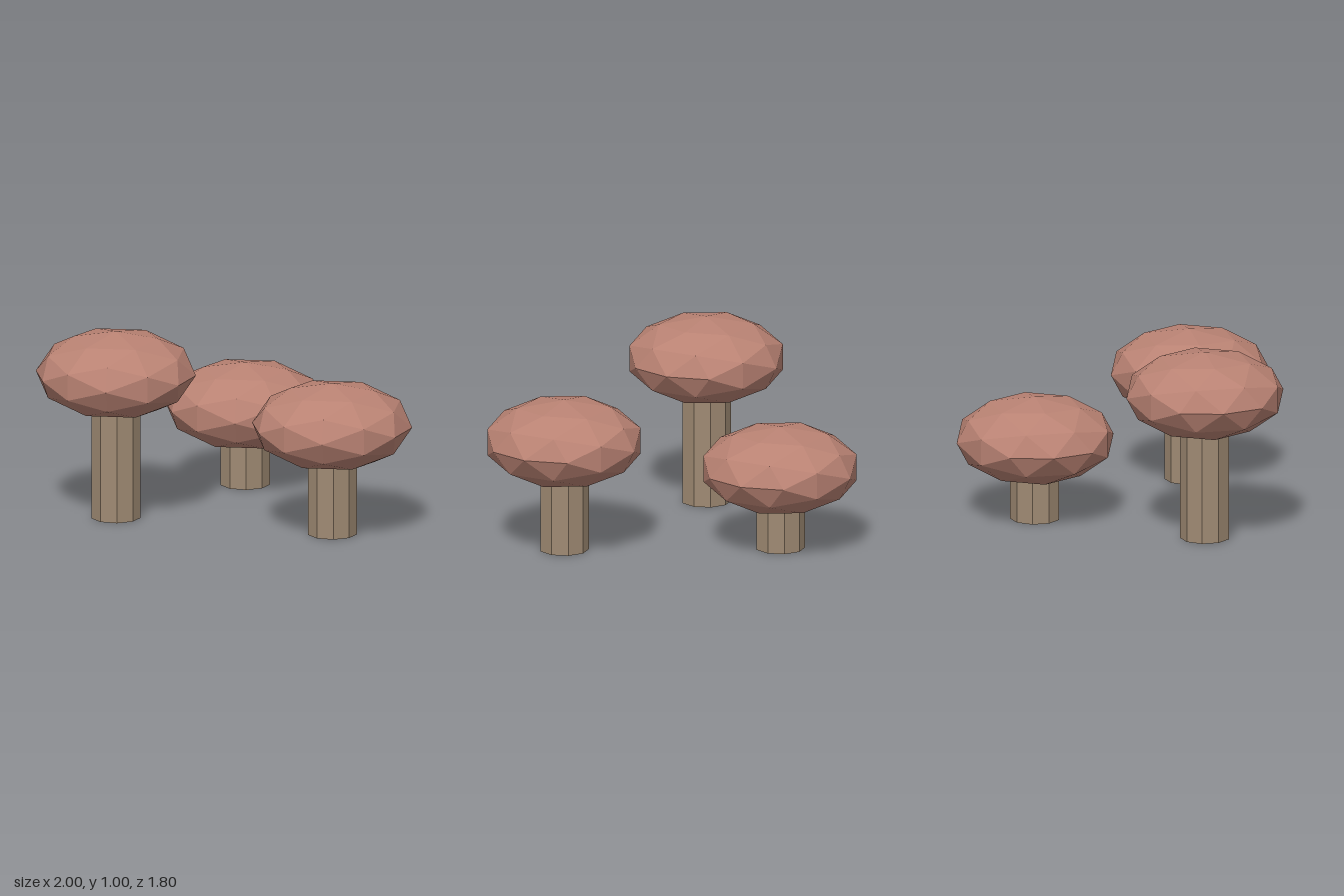
import * as THREE from 'three';

const CAP_RADIUS = 0.42;
const CAP_HALF_HEIGHT = 0.225;
const STEM_RADIUS = 0.13;

// One tree: nine-sided trunk under a squashed faceted crown
function makeTree(x, z, crownY, crownMaterial, trunkMaterial) {
  const tree = new THREE.Group();
  tree.name = 'tree';
  tree.position.set(x, 0, z);

  // Trunk, one edge pointing along +x, ending inside the crown
  const trunkGeometry = new THREE.CylinderGeometry(STEM_RADIUS, STEM_RADIUS, crownY, 9);
  trunkGeometry.rotateY(Math.PI / 2);
  const trunk = new THREE.Mesh(trunkGeometry, trunkMaterial);
  trunk.name = 'trunk';
  trunk.position.y = crownY / 2;

  // Crown
  const crownGeometry = new THREE.IcosahedronGeometry(CAP_RADIUS, 1);
  crownGeometry.scale(1, CAP_HALF_HEIGHT / CAP_RADIUS, 1);
  crownGeometry.computeVertexNormals();
  const crown = new THREE.Mesh(crownGeometry, crownMaterial);
  crown.name = 'crown';
  crown.position.y = crownY;

  tree.add(trunk, crown);
  return tree;
}

export function createModel() {
  const crownMaterial = new THREE.MeshStandardMaterial({ color: 0xb98273, flatShading: true });
  crownMaterial.name = 'dusty red';
  const trunkMaterial = new THREE.MeshStandardMaterial({ color: 0x9f8a73, flatShading: true });
  trunkMaterial.name = 'bark brown';

  const model = new THREE.Group();
  model.name = 'treeCluster';

  // x, z, crown centre height
  const trees = [
    ['tallTree', -0.58, 0.285, 0.775],
    ['middleTree', 0.58, 0.48, 0.583],
    ['shortTree', 0, -0.485, 0.43],
  ];
  for (const [name, x, z, crownY] of trees) {
    const tree = makeTree(x, z, crownY, crownMaterial, trunkMaterial);
    tree.name = name;
    model.add(tree);
  }
  return model;
}
